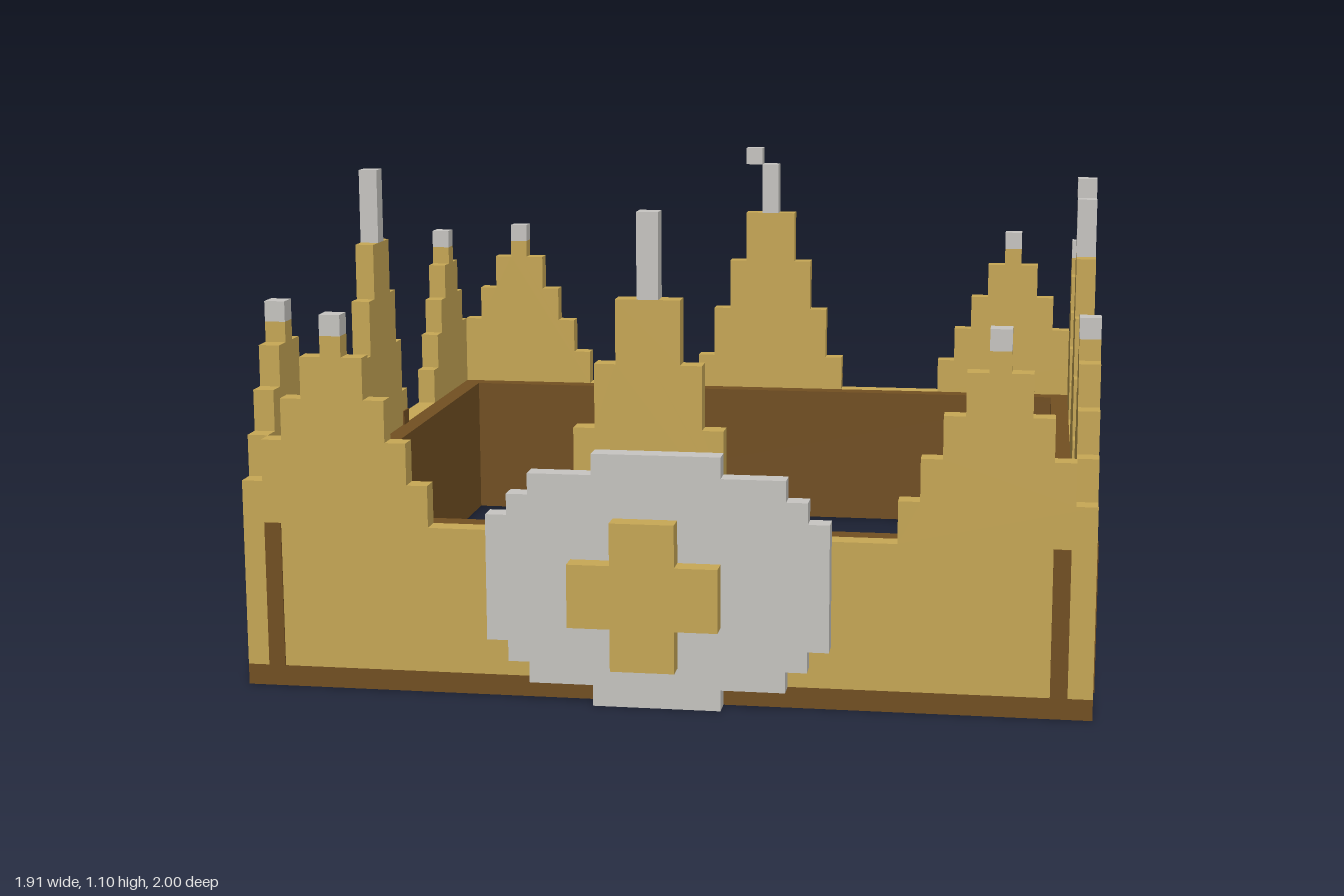
import * as THREE from 'three';

const U = 1 / 21; // one block; the model is laid out in block units
const mat = (name, color) => Object.assign(new THREE.MeshStandardMaterial({ color }), { name });

export function createModel() {
  const gold = mat('gold', 0xc9a956);
  const brown = mat('brown', 0x735022);
  const silver = mat('silver', 0xc9c7c3);

  const model = new THREE.Group();
  model.name = 'crown';
  const blocks = new THREE.Group();
  blocks.name = 'crownBlocks';
  blocks.scale.setScalar(U);
  blocks.position.set(-20 * U, 0, -21 * U);
  model.add(blocks);

  function add(name, geometry, material) {
    const mesh = new THREE.Mesh(geometry, material);
    mesh.name = name;
    blocks.add(mesh);
    return mesh;
  }

  // Box given by its lower and upper corners
  function box(name, material, x0, y0, z0, x1, y1, z1) {
    const g = new THREE.BoxGeometry(x1 - x0, y1 - y0, z1 - z0);
    g.translate((x0 + x1) / 2, (y0 + y1) / 2, (z0 + z1) / 2);
    return add(name, g, material);
  }

  // One-block-thick slab with stepped top and bottom, one column per block
  function steppedSlab(start, tops, bottoms) {
    const pts = [];
    const n = tops.length;
    for (let i = 0; i < n; i++) {
      pts.push(new THREE.Vector2(start + i, bottoms[i]), new THREE.Vector2(start + i + 1, bottoms[i]));
    }
    for (let i = n - 1; i >= 0; i--) {
      pts.push(new THREE.Vector2(start + i + 1, tops[i]), new THREE.Vector2(start + i, tops[i]));
    }
    // drop points lying on a straight run
    const corners = pts.filter((p, i) => {
      const a = pts[(i + pts.length - 1) % pts.length];
      const b = pts[(i + 1) % pts.length];
      return !(a.y === p.y && p.y === b.y) && !p.equals(a);
    });
    return new THREE.ExtrudeGeometry(new THREE.Shape(corners), { depth: 1, bevelEnabled: false });
  }

  // Wall height at block i: two corner points and a tall middle point
  const cornerSteps = [17, 16, 14, 12, 10];
  const middleSteps = [19, 19, 16, 13, 10];
  const height = (i, mid) => Math.max(8,
    cornerSteps[Math.abs(i - 4)] ?? 0,
    cornerSteps[Math.abs(i - 35)] ?? 0,
    middleSteps[Math.abs(i - mid)] ?? 0);

  const walls = [
    { name: 'front', side: false, at: 39, mid: 19 },
    { name: 'back', side: false, at: 0, mid: 20 },
    { name: 'left', side: true, at: 39, mid: 20 },
    { name: 'right', side: true, at: 0, mid: 19 },
  ];

  for (const { name, side, at, mid } of walls) {
    // box placed by its position along the wall
    const along = (part, material, a0, y0, a1, y1, w0 = at, w1 = at + 1) => side
      ? box(name + part, material, w0, y0, a0, w1, y1, a1)
      : box(name + part, material, a0, y0, w0, a1, y1, w1);
    const first = side ? 1 : 0;
    const last = side ? 39 : 40;

    const tops = [];
    for (let i = first; i < last; i++) tops.push(height(i, mid));
    const g = steppedSlab(first, tops, tops.map(() => 1));
    if (side) g.rotateY(-Math.PI / 2).translate(at + 1, 0, 0);
    else g.translate(0, 0, at);
    add(name + 'Wall', g, gold);

    along('BaseTrim', brown, first, 0, last, 1);

    // inner lining
    const lin = at ? 38 : 1;
    along('Lining', brown, side ? 2 : 1, 0, side ? 38 : 39, 8, lin, lin + 1);

    // silver tips; two middle tips bend sideways at the top
    for (const tip of [4, 35]) along('CornerTip', silver, tip, 17, tip + 1, 18);
    along('MiddleTip', silver, mid, 19, mid + 1, mid === 19 ? 23 : 22);
    if (mid === 20) along('MiddleTipEnd', silver, 19, 22, 20, 23);
  }

  // Thin brown inlays near the corners and at the feet of the middle points
  const t = 0.08;
  for (const a of [1, 38]) {
    box('frontInlay', brown, a + 0.05, 1, 40, a + 0.85, 8, 40 + t);
  }
  for (const a of [1, 38]) {
    const z = a === 1 ? 1.1 : 38.1;
    box('leftInlay', brown, 40, 1, z, 40 + t, 8, z + 0.85);
  }
  box('leftFootInlay', brown, 40, 8, 24.2, 40 + t, 8.8, 25);
  box('rightFootInlay', brown, 1, 8, 15, 1 + t, 8.8, 16);
  box('backFootInlay', brown, 24.2, 8, -t, 25, 8.8, 0);

  // Round silver badge with a raised gold cross
  const half = [3, 2, 1, 1, 1, 0, 0, 0];
  const lows = [...half, ...[...half].reverse()];
  const badge = steppedSlab(12, lows.map((b) => 12 - b), lows);
  add('badge', badge.translate(0, 0, 40), silver);
  const cross = steppedSlab(16, [7, 7, 9, 9, 9, 7, 7], [4, 4, 2, 2, 2, 4, 4]);
  add('badgeCross', cross.translate(0, 0, 41), gold);

  return model;
}
